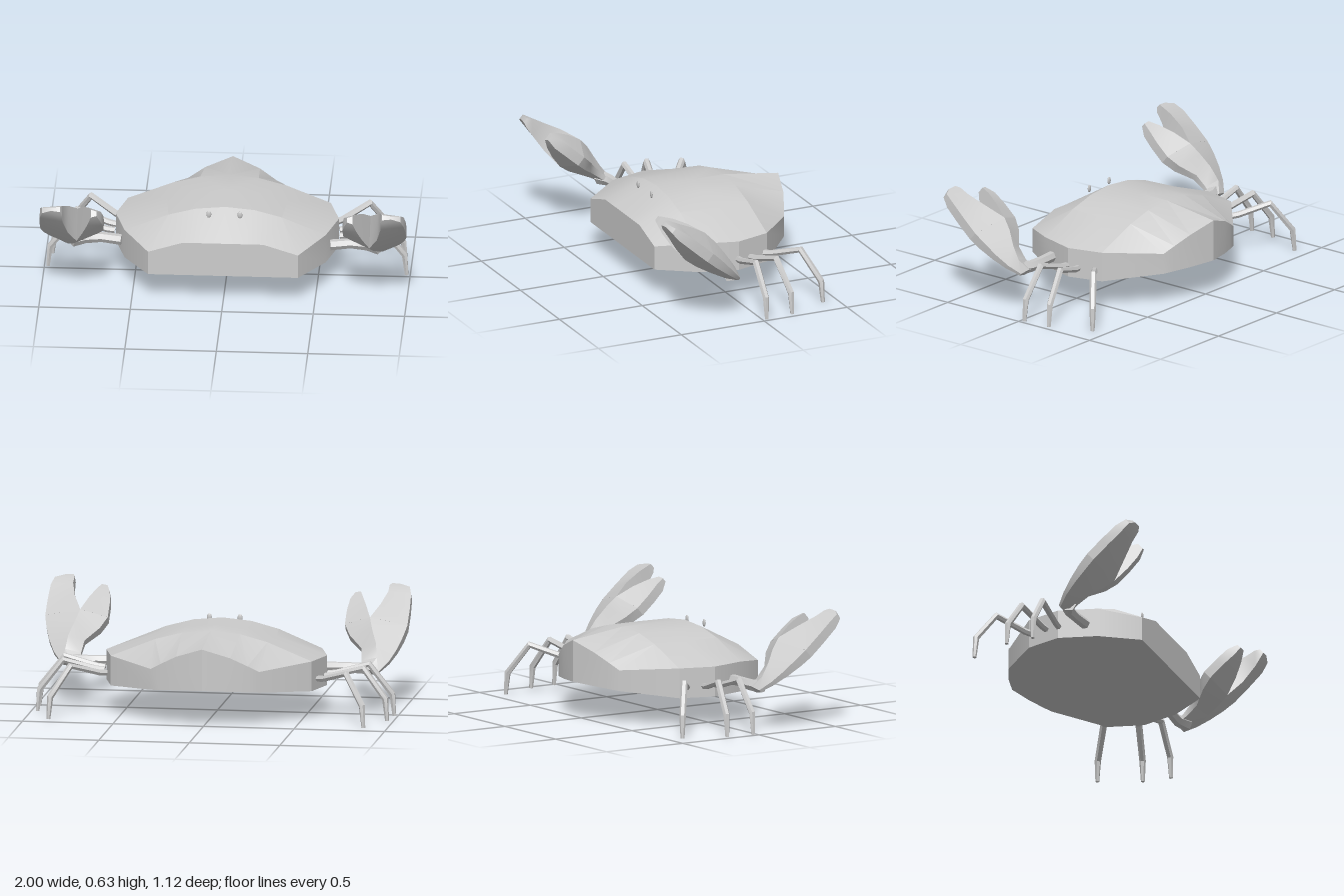
import * as THREE from 'three';
import { toCreasedNormals } from 'three/addons/utils/BufferGeometryUtils.js';

const material = new THREE.MeshStandardMaterial({ color: 0xcccccc });
const V = (x, y, z) => new THREE.Vector3(x, y, z);

// Skins a list of equal-sized rings, closes both ends and turns faces outward.
function loft(rings, crease = 0.45) {
  const tris = [];
  const quad = (a, b, c, d) => {
    if (a.distanceTo(c) <= b.distanceTo(d) + 1e-6) tris.push([a, b, c], [a, c, d]);
    else tris.push([a, b, d], [b, c, d]);
  };
  const n = rings[0].length;
  for (let k = 0; k < rings.length - 1; k++) {
    for (let i = 0; i < n; i++) {
      const j = (i + 1) % n;
      quad(rings[k][i], rings[k][j], rings[k + 1][j], rings[k + 1][i]);
    }
  }
  const first = rings[0], last = rings[rings.length - 1];
  for (let i = 0; i < n / 2 - 1; i++) {
    const p = n - 1 - i;
    quad(first[i], first[p], first[p - 1], first[i + 1]);
    quad(last[i], last[i + 1], last[p - 1], last[p]);
  }
  let volume = 0;
  for (const [a, b, c] of tris) volume += a.dot(b.clone().cross(c));
  const points = tris.flatMap(([a, b, c]) => (volume < 0 ? [a, c, b] : [a, b, c]));
  const geometry = new THREE.BufferGeometry().setFromPoints(points);
  geometry.computeVertexNormals();
  return toCreasedNormals(geometry, crease);
}

// Six-sided limb following a path, with one radius per path point.
function limb(path, radii) {
  const rings = path.map((p, k) => {
    const before = path[Math.max(k - 1, 0)], after = path[Math.min(k + 1, path.length - 1)];
    const dir = after.clone().sub(before).normalize();
    const side = V(dir.z, 0, -dir.x).normalize();
    const up = dir.clone().cross(side);
    return Array.from({ length: 6 }, (_, i) => {
      const a = (i / 6) * Math.PI * 2;
      return p.clone().addScaledVector(side, Math.cos(a) * radii[k]).addScaledVector(up, Math.sin(a) * radii[k]);
    });
  });
  return loft(rings);
}

function add(parent, name, geometry) {
  const mesh = new THREE.Mesh(geometry, material);
  mesh.name = name;
  parent.add(mesh);
  return mesh;
}

// Shell: cross-sections from front to back, each half given as [x, top y, z, bottom y].
function shellGeometry() {
  const section = (z, pts) => pts.map(([x, y]) => [x, y, z, 0.16]);
  const backPoint = (x, z) => [x, 0.3 + (-0.45 - z) * 1.286, z, 0.185 + (-0.45 - z) * 0.19];
  const halves = [
    section(0.385, [[0, 0.355], [0.11, 0.355], [0.22, 0.355], [0.41, 0.295]]),
    section(0.18, [[0, 0.48], [0.16, 0.465], [0.31, 0.425], [0.55, 0.325]]),
    section(-0.03, [[0, 0.48], [0.17, 0.465], [0.33, 0.425], [0.61, 0.325]]),
    section(-0.225, [[0, 0.48], [0.16, 0.465], [0.31, 0.425], [0.555, 0.325]]),
    [backPoint(0, -0.555), backPoint(0.15, -0.515), backPoint(0.24, -0.477), backPoint(0.3, -0.45)],
  ];
  const rings = halves.map((half) => {
    const mirrored = half.slice(1).reverse().map(([x, ...rest]) => [-x, ...rest]);
    const row = [...mirrored, ...half];
    const top = row.map(([x, y, z]) => V(x, y, z));
    const bottom = row.map(([x, , z, b]) => V(x, b, z)).reverse();
    return [...top, ...bottom];
  });
  return loft(rings, 0.35);
}

// Claw space: x across, v along the raised claw, n through its thickness.
const clawPoint = (s, x, v, n) => V(s * x, 0.215 + 0.656 * v + 0.754 * n, 0.09 + 0.754 * v - 0.656 * n);

function makeClaw(s) {
  const claw = new THREE.Group();
  // Arm
  add(claw, 'arm', limb(
    [V(s * 0.57, 0.235, 0.115), V(s * 0.68, 0.24, 0.098), V(s * 0.77, 0.235, 0.1), V(s * 0.84, 0.235, 0.13)],
    [0.03, 0.028, 0.032, 0.04]));
  // Palm rows: inner x, ridge x, outer x, v, half thickness
  const palm = [
    [0.765, 0.82, 0.875, 0.0, 0.024], [0.775, 0.86, 0.925, 0.07, 0.042], [0.765, 0.85, 0.96, 0.15, 0.064],
    [0.69, 0.82, 0.985, 0.235, 0.085], [0.655, 0.8, 1.0, 0.31, 0.092],
  ];
  add(claw, 'palm', loft(palm.map(([xi, xm, xo, v, h]) => {
    const e = h * 0.3;
    return [[xi, e], [xm, h], [xo, e], [xo, -e], [xm, -h], [xi, -e]].map(([x, n]) => clawPoint(s, x, v, n));
  }), 0.6));
  // Finger rows: notch x, outside x, v, half thickness
  const finger = (rows) => loft(rows.map(([xn, xo, v, h]) => {
    const e = Math.min(0.028, h * 0.6);
    return [[xn, h], [xo, e], [xo, -e], [xn, -h]].map(([x, n]) => clawPoint(s, x, v, n));
  }), 0.6);
  add(claw, 'outerFinger', finger([
    [0.8, 1.0, 0.31, 0.092], [0.845, 1.0, 0.42, 0.075], [0.87, 0.995, 0.53, 0.045],
    [0.87, 0.98, 0.59, 0.028], [0.88, 0.93, 0.615, 0.015]]));
  add(claw, 'innerFinger', finger([
    [0.8, 0.655, 0.31, 0.092], [0.765, 0.655, 0.41, 0.075],
    [0.735, 0.665, 0.49, 0.05], [0.715, 0.685, 0.545, 0.022]]));
  return claw;
}

// Walking legs: base and foot on the ground plan, as x and z.
const legPlan = [
  { name: 'frontLeg', base: [0.615, -0.025], foot: [0.98, -0.025] },
  { name: 'middleLeg', base: [0.61, -0.1], foot: [0.965, -0.185] },
  { name: 'rearLeg', base: [0.585, -0.195], foot: [0.87, -0.415] },
];
const legProfile = [[0, 0.225], [0.12, 0.23], [0.62, 0.282], [0.97, 0.12], [1, 0]];

function legGeometry({ base, foot }, s) {
  const path = legProfile.map(([t, y]) => V(
    s * THREE.MathUtils.lerp(base[0], foot[0], t), y, THREE.MathUtils.lerp(base[1], foot[1], t)));
  return limb(path, [0.018, 0.018, 0.019, 0.018, 0.011]);
}

export function createModel() {
  const crab = new THREE.Group();
  crab.name = 'crab';
  add(crab, 'shell', shellGeometry());
  for (const [side, s] of [['left', 1], ['right', -1]]) {
    const claw = makeClaw(s);
    claw.name = side + 'Claw';
    crab.add(claw);
    for (const leg of legPlan) {
      add(crab, side + leg.name[0].toUpperCase() + leg.name.slice(1), legGeometry(leg, s));
    }
    // Small bead eye
    const eye = add(crab, side + 'Eye', new THREE.SphereGeometry(1, 8, 6));
    eye.scale.set(0.014, 0.021, 0.006);
    eye.position.set(s * 0.085, 0.467, 0.25);
  }
  return crab;
}
